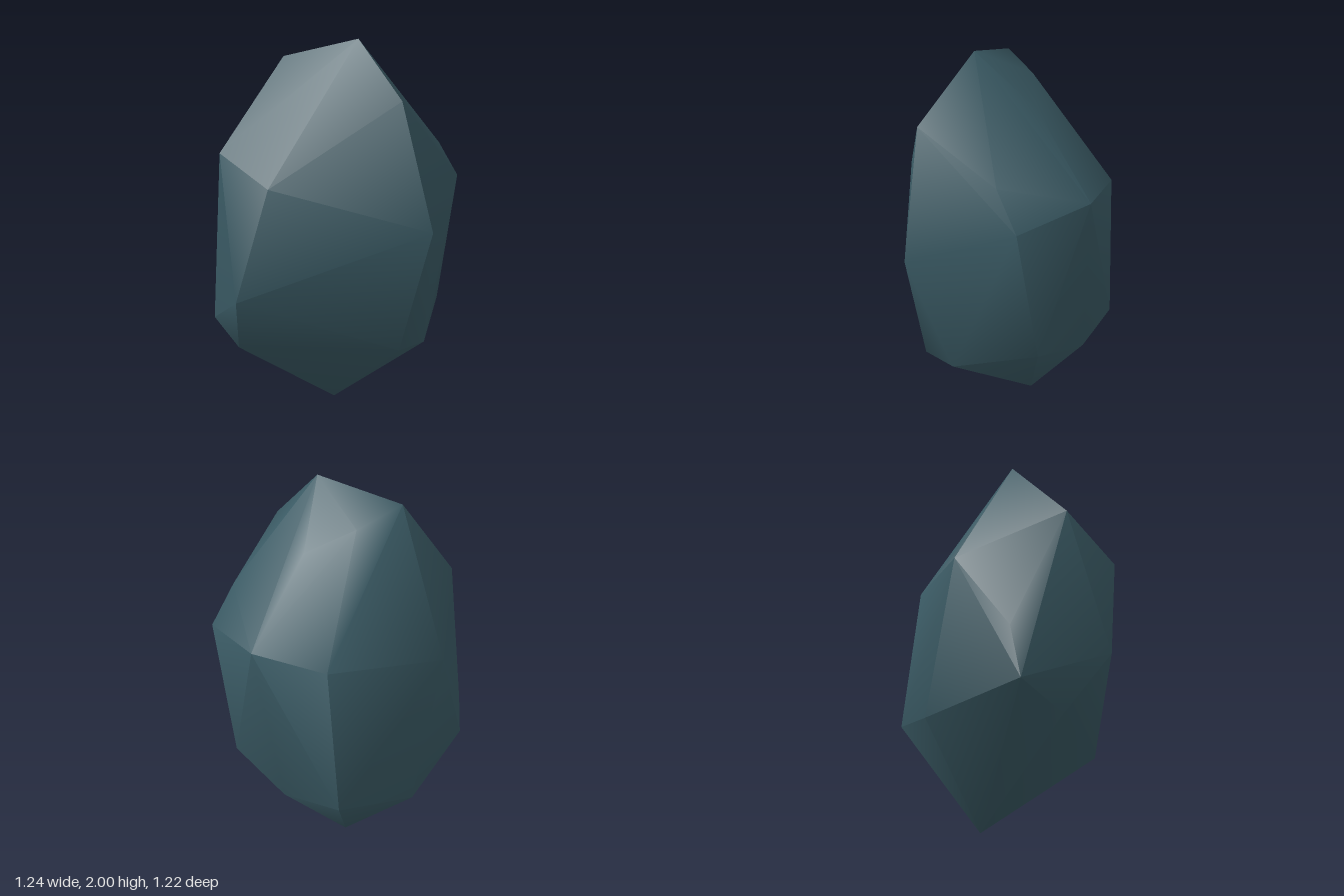
import * as THREE from 'three';
import { toCreasedNormals } from 'three/addons/utils/BufferGeometryUtils.js';
import { ConvexGeometry } from 'three/addons/geometries/ConvexGeometry.js';

export function createModel() {
  const group = new THREE.Group();
  group.name = 'rock';

  const stone = new THREE.MeshStandardMaterial({ color: 0x3a5a64 });
  stone.name = 'slate blue stone';

  // Corners of the boulder, from the crown down to the tip
  const crown = [[0.01, 2, 0.12], [-0.13, 1.92, -0.28], [0.1, 1.85, -0.2], [0.27, 1.74, -0.03], [-0.04, 1.7, 0.45]];
  const shoulder = [
    [0.37, 1.48, 0.36], [0.51, 1.3, 0.38], [0.62, 1.36, -0.02], [0.49, 1.34, -0.37],
    [-0.07, 1.24, -0.61], [-0.54, 1.44, -0.31], [-0.54, 1.29, 0.05],
  ];
  const waist = [[0.01, 1.08, 0.61], [0.17, 1.15, 0.52], [-0.62, 0.72, -0.11], [-0.38, 0.8, -0.53], [-0.04, 0.67, 0.47]];
  const lowerRidge = [
    [-0.04, 0.47, 0.45], [0.16, 0.47, 0.45], [0.54, 0.6, 0.24], [0.55, 0.5, -0.12],
    [0.49, 0.55, -0.44], [0.1, 0.46, -0.6], [-0.44, 0.53, -0.52], [-0.47, 0.42, -0.28],
  ];
  const tip = [[0.15, 0, -0.19]];

  // Broad facets blend softly, the strong ridges stay sharp
  const corners = [...crown, ...shoulder, ...waist, ...lowerRidge, ...tip].map((p) => new THREE.Vector3(...p));
  const boulder = new THREE.Mesh(toCreasedNormals(new ConvexGeometry(corners), 0.75), stone);
  boulder.name = 'boulder';
  group.add(boulder);
  return group;
}
